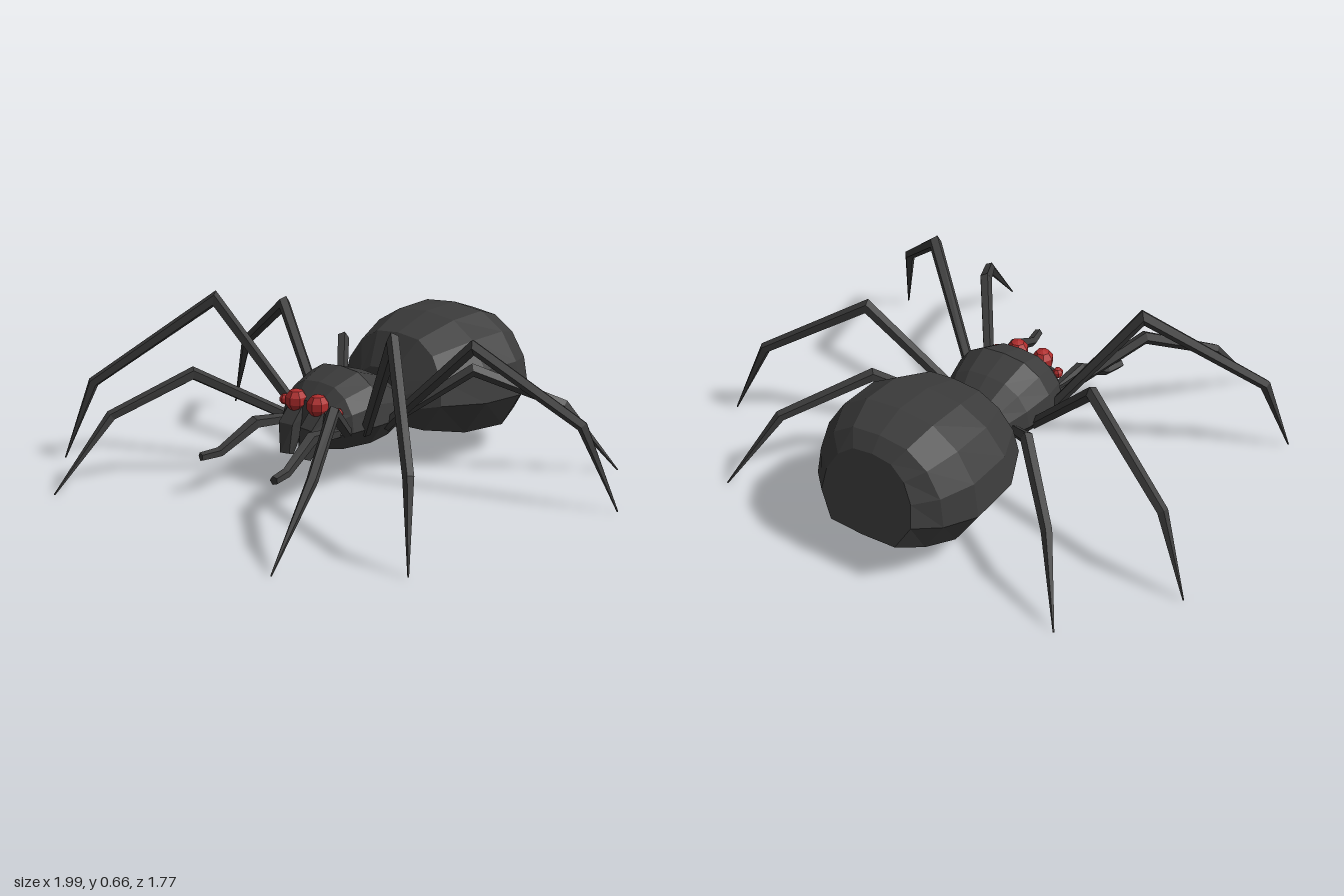
import * as THREE from 'three';

const charcoal = new THREE.MeshStandardMaterial({ color: 0x3c3c3c });
charcoal.name = 'charcoal';
const red = new THREE.MeshStandardMaterial({ color: 0xb02c2c });
red.name = 'eye red';

// Faceted skin over rings of points, each counter-clockwise about the loft direction
function loft(rings) {
  const pos = [];
  const tri = (a, b, c) => pos.push(...a.toArray(), ...b.toArray(), ...c.toArray());
  const n = rings[0].length;
  for (let i = 0; i < rings.length - 1; i++) {
    for (let j = 0; j < n; j++) {
      const k = (j + 1) % n, p = rings[i], q = rings[i + 1];
      tri(p[j], p[k], q[k]);
      tri(p[j], q[k], q[j]);
    }
  }
  const first = rings[0], last = rings[rings.length - 1];
  for (let j = 1; j < n - 1; j++) {
    tri(first[0], first[j + 1], first[j]);
    tri(last[0], last[j], last[j + 1]);
  }
  const geo = new THREE.BufferGeometry();
  geo.setAttribute('position', new THREE.Float32BufferAttribute(pos, 3));
  geo.computeVertexNormals();
  return geo;
}

// Jointed limb with mitred bends and a radius at each joint
function limb(points, radii, sides) {
  const pts = points.map((p) => new THREE.Vector3(...p));
  const up = new THREE.Vector3(0, 1, 0);
  const dir = (i) => pts[i + 1].clone().sub(pts[i]).normalize();
  return loft(pts.map((p, i) => {
    const a = dir(Math.max(i - 1, 0)), b = dir(Math.min(i, pts.length - 2));
    const t = a.clone().add(b).normalize();
    const u = up.clone().cross(t).normalize();
    const v = t.clone().cross(u).divideScalar(Math.max(t.dot(a), 0.6));
    return Array.from({ length: sides }, (_, j) => {
      const ang = ((j + 0.5) / sides) * Math.PI * 2;
      return p.clone()
        .addScaledVector(u, Math.cos(ang) * radii[i])
        .addScaledVector(v, Math.sin(ang) * radii[i]);
    });
  }));
}

// Body cross-section, flat below and domed above: x as share of half width, y as share of height
const half = [[0.72, 0.02], [1, 0.32], [0.94, 0.6], [0.73, 0.83], [0.42, 0.97]];
const section = [[0, 0], ...half, [0, 1], ...half.slice().reverse().map(([x, y]) => [-x, y])];

// Stations run back to front: z at bottom, z at top, half width, bottom, top
function body(stations) {
  return loft(stations.map(([zb, zt, w, yb, yt]) => section.map(([x, y]) =>
    new THREE.Vector3(x * w, yb + y * (yt - yb), zb + y * (zt - zb)))));
}

export function createModel() {
  const model = new THREE.Group();
  model.name = 'spider';
  const add = (name, geo, mat = charcoal) => {
    const mesh = new THREE.Mesh(geo, mat);
    mesh.name = name;
    model.add(mesh);
    return mesh;
  };

  add('abdomen', body([
    [-0.885, -0.81, 0.19, 0.165, 0.465],
    [-0.79, -0.765, 0.27, 0.125, 0.515],
    [-0.67, -0.65, 0.33, 0.095, 0.556],
    [-0.45, -0.49, 0.33, 0.11, 0.546],
    [-0.28, -0.33, 0.25, 0.145, 0.49],
    [-0.215, -0.24, 0.14, 0.17, 0.37],
  ]));

  add('thorax', body([
    [-0.27, -0.27, 0.1, 0.18, 0.29],
    [-0.21, -0.21, 0.145, 0.165, 0.335],
    [-0.13, -0.13, 0.185, 0.155, 0.385],
    [-0.02, -0.02, 0.21, 0.15, 0.42],
    [0.1, 0.09, 0.18, 0.15, 0.38],
    [0.175, 0.15, 0.125, 0.16, 0.32],
  ]));

  // Hip, knee, ankle and foot of each left leg
  const legs = {
    firstLeg: [[0.15, 0.22, 0.1], [0.36, 0.4, 0.385], [0.52, 0.26, 0.645], [0.567, 0.002, 0.88]],
    secondLeg: [[0.17, 0.21, 0.025], [0.455, 0.632, 0.19], [0.81, 0.3, 0.495], [0.89, 0.002, 0.58]],
    thirdLeg: [[0.17, 0.21, -0.08], [0.485, 0.545, -0.2], [0.865, 0.3, -0.35], [0.993, 0.002, -0.4]],
    fourthLeg: [[0.14, 0.22, -0.165], [0.335, 0.4, -0.375], [0.575, 0.265, -0.615], [0.713, 0.002, -0.78]],
  };

  for (const s of [1, -1]) {
    const side = s > 0 ? 'left ' : 'right ';
    const mirror = (pts) => pts.map(([x, y, z]) => [s * x, y, z]);

    for (const [name, pts] of Object.entries(legs)) {
      add(side + name, limb(mirror(pts), [0.021, 0.024, 0.021, 0.003], 5));
    }

    // Feelers beside the mouth
    add(side + 'feeler', limb(mirror([[0.13, 0.22, 0.1], [0.145, 0.235, 0.28],
      [0.172, 0.15, 0.43], [0.19, 0.145, 0.505]]), [0.02, 0.025, 0.019, 0.017], 5));

    // Tapered jaws
    add(side + 'jaw', limb(mirror([[0.055, 0.28, 0.13], [0.055, 0.22, 0.185],
      [0.045, 0.125, 0.215]]), [0.045, 0.046, 0.026], 4));

    // Eyes: a large front one and a small outer one
    const eye = (name, r, x, y, z) => {
      const geo = new THREE.SphereGeometry(r, 7, 5).toNonIndexed();
      geo.computeVertexNormals();
      add(side + name, geo, red).position.set(s * x, y, z);
    };
    eye('large eye', 0.043, 0.056, 0.315, 0.155);
    eye('small eye', 0.021, 0.136, 0.297, 0.135);
  }
  return model;
}
